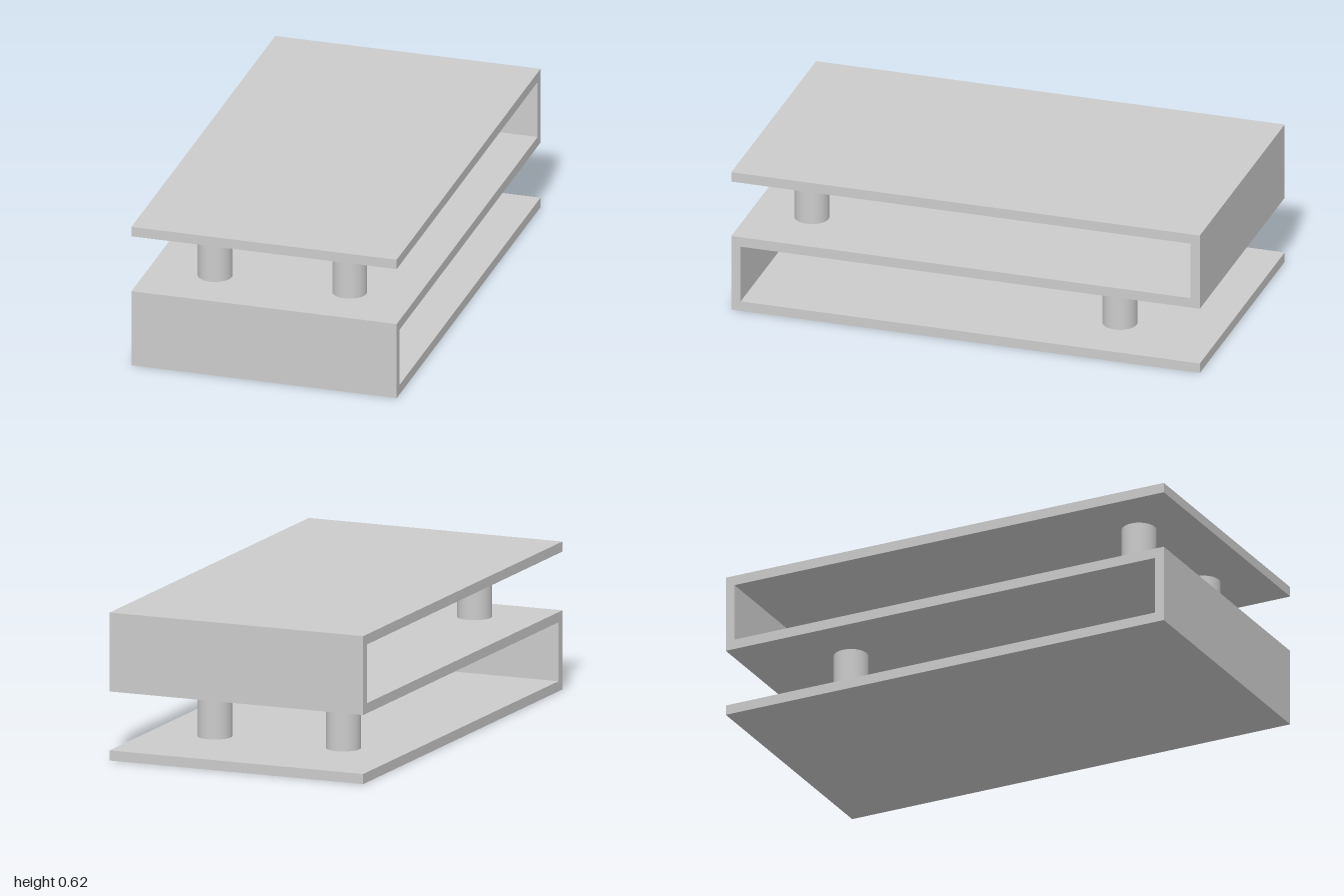
import * as THREE from 'three';

const WIDTH = 1.127, T = 0.042, WALL = 0.04;
const MID = 0.287, TOP = 0.573; // undersides of the middle and top shelves

export function createModel() {
  const group = new THREE.Group();
  const material = new THREE.MeshStandardMaterial({ color: 0xcccccc });

  // Folded S-shaped shelf: side profile in (z, y), swept across the width
  const profile = new THREE.Shape([
    [-1, 0], [1, 0], [1, MID + T], [-1 + WALL, MID + T],
    [-1 + WALL, TOP], [1, TOP], [1, TOP + T], [-1, TOP + T],
    [-1, MID], [1 - WALL, MID], [1 - WALL, T], [-1, T],
  ].map(([z, y]) => new THREE.Vector2(z, y)));
  const sheet = new THREE.ExtrudeGeometry(profile, { depth: WIDTH, bevelEnabled: false });
  sheet.translate(0, 0, -WIDTH / 2).rotateY(-Math.PI / 2);
  const shelf = new THREE.Mesh(sheet, material);
  shelf.name = 'foldedShelf';
  group.add(shelf);

  // Round posts holding the open ends apart
  const height = TOP - MID - T;
  const postGeometry = new THREE.CylinderGeometry(0.071, 0.071, height, 48);
  const rows = [['frontPost', MID + T, 0.745], ['backPost', T, -0.57]];
  for (const [name, base, z] of rows) {
    for (const side of [-1, 1]) {
      const post = new THREE.Mesh(postGeometry, material);
      post.name = name + (side > 0 ? 'Left' : 'Right');
      post.position.set(side * 0.286, base + height / 2, z);
      group.add(post);
    }
  }
  return group;
}
